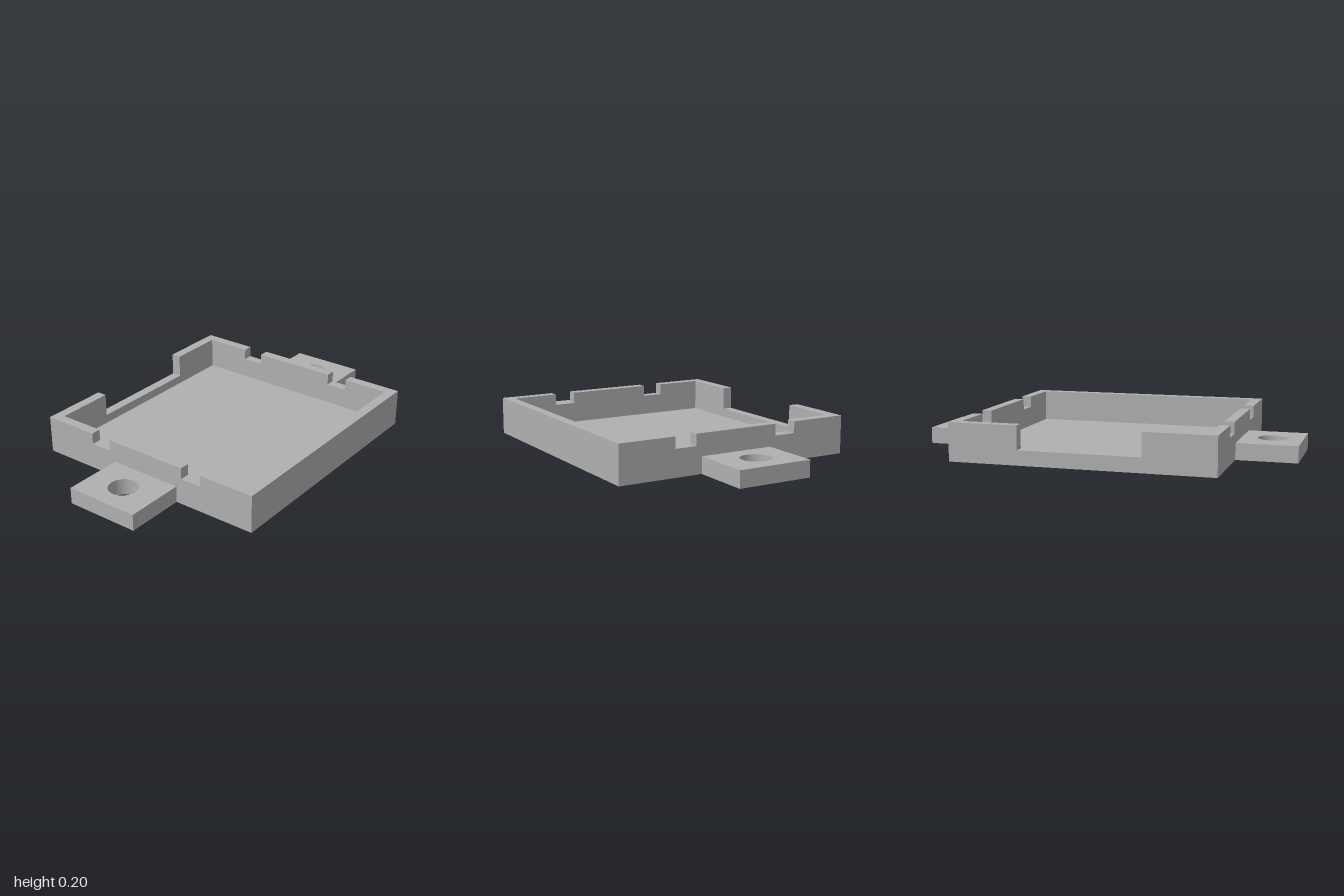
import * as THREE from 'three';

const HX = 0.683, HZ = 0.65;      // outer half sizes of the tray
const IX = 0.63, IZ = 0.597;      // inner half sizes
const WALL = 0.2, FLOOR = 0.03, TAB = 0.087;

// Wall standing in the XY plane, with notches [from, to, bottom] cut into its top, left to right
function wallGeometry(half, thickness, notches) {
  const s = new THREE.Shape();
  s.moveTo(-half, 0);
  s.lineTo(half, 0);
  s.lineTo(half, WALL);
  for (const [from, to, bottom] of [...notches].reverse()) {
    s.lineTo(to, WALL);
    s.lineTo(to, bottom);
    s.lineTo(from, bottom);
    s.lineTo(from, WALL);
  }
  s.lineTo(-half, WALL);
  s.closePath();
  return new THREE.ExtrudeGeometry(s, { depth: thickness, bevelEnabled: false })
    .translate(0, 0, -thickness / 2);
}

// Mounting tab with a round screw hole, lying flat
function tabGeometry() {
  const mid = (HX + 1) / 2, half = (1 - HX) / 2;
  const s = new THREE.Shape();
  s.moveTo(-half, -0.2);
  s.lineTo(half, -0.2);
  s.lineTo(half, 0.2);
  s.lineTo(-half, 0.2);
  s.closePath();
  const hole = new THREE.Path();
  hole.absarc(0, 0, 0.076, 0, Math.PI * 2, true);
  s.holes.push(hole);
  return new THREE.ExtrudeGeometry(s, { depth: TAB, bevelEnabled: false, curveSegments: 40 })
    .rotateX(-Math.PI / 2)
    .translate(mid, 0, 0);
}

export function createModel() {
  const model = new THREE.Group();
  model.name = 'mountingTray';
  const grey = new THREE.MeshStandardMaterial({ color: 0xb0b0b0 });
  grey.name = 'grey';

  const add = (name, geometry, x = 0, y = 0, z = 0) => {
    const mesh = new THREE.Mesh(geometry, grey);
    mesh.name = name;
    mesh.position.set(x, y, z);
    model.add(mesh);
    return mesh;
  };

  // Thin floor between the walls
  add('floor', new THREE.BoxGeometry(IX * 2, FLOOR, IZ * 2), 0, FLOOR / 2, 0);

  // Plain front wall, back wall with one wide opening
  const endZ = (HZ + IZ) / 2;
  add('frontWall', wallGeometry(IX, HZ - IZ, []), 0, 0, endZ);
  add('backWall', wallGeometry(IX, HZ - IZ, [[-0.317, 0.317, 0.077]]), 0, 0, -endZ);

  // Side walls with two small notches each, and the tabs outside them
  const notches = [[-0.348, -0.232, 0.14], [0.232, 0.348, 0.14]];
  for (const [side, sign] of [['left', 1], ['right', -1]]) {
    const wall = add(side + 'Wall', wallGeometry(HZ, HX - IX, notches), sign * (HX + IX) / 2);
    wall.rotation.y = Math.PI / 2;
    const tab = add(side + 'Tab', tabGeometry());
    tab.rotation.y = sign > 0 ? 0 : Math.PI;
  }
  return model;
}
